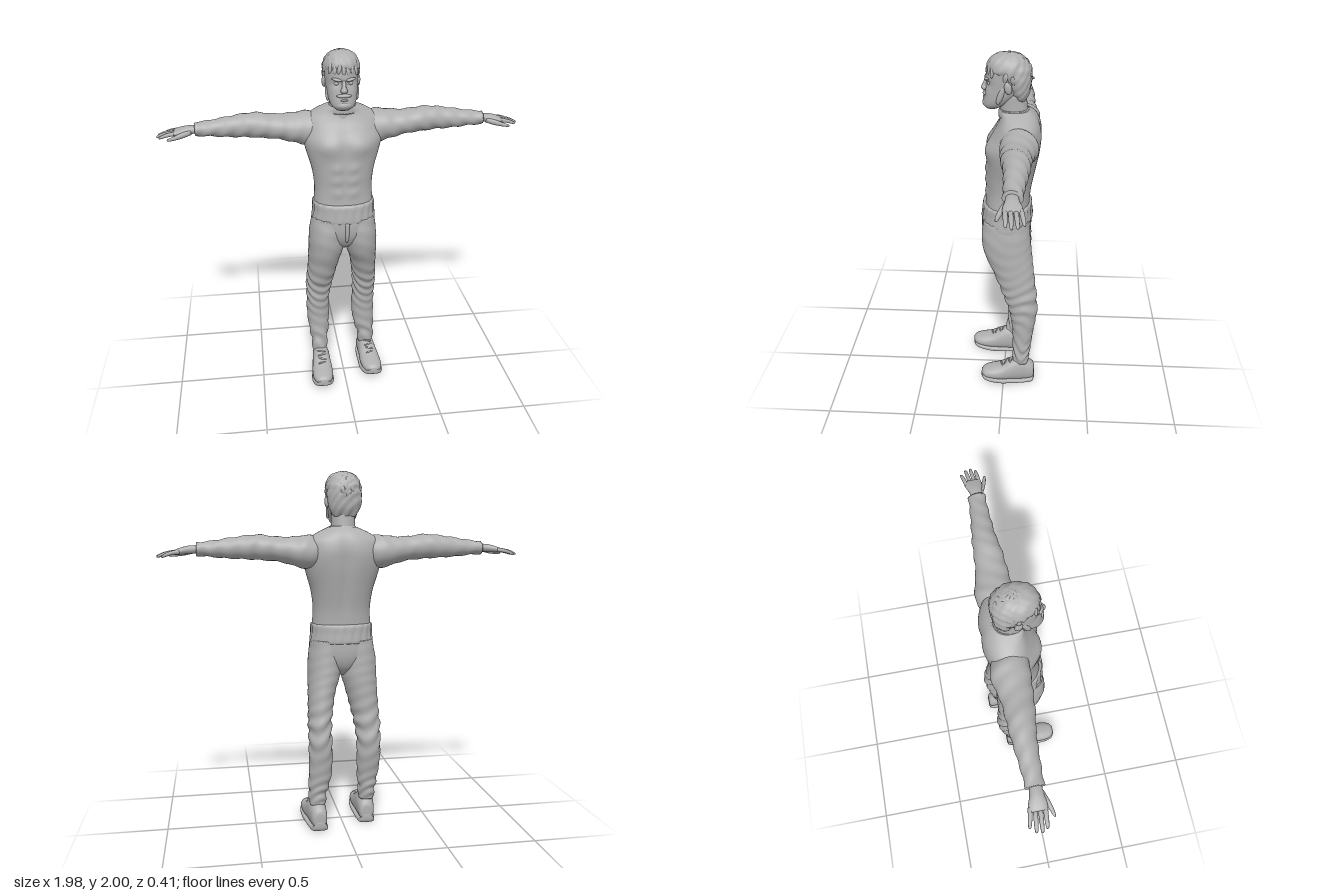
import * as THREE from 'three';

const grey = new THREE.MeshStandardMaterial({ color: 0xb0b0b0 });
grey.name = 'plain grey';

// Smooth closed skin through cross-sections [t, u0, u1, v0, v1] along one axis.
// bump(x, y, z, cos, sin) pushes the surface outward.
const place = {
  x: (t, u, v) => [t, v, u],
  y: (t, u, v) => [u, t, v],
  z: (t, u, v) => [v, u, t],
};
function loft(name, axis, rows, { n = 32, steps = 4, pow = 0.9, bump } = {}) {
  const at = (k, f) => {
    const g = (i) => rows[Math.min(Math.max(i, 0), rows.length - 1)];
    const [a, b, c, d] = [g(k - 1), g(k), g(k + 1), g(k + 2)];
    return b.map((_, j) => b[j] + 0.5 * f * (c[j] - a[j] + f * (2 * a[j] - 5 * b[j] + 4 * c[j] - d[j]
      + f * (3 * (b[j] - c[j]) + d[j] - a[j]))));
  };
  const rings = [];
  for (let i = 0; i <= (rows.length - 1) * steps; i++) rings.push(at(Math.floor(i / steps), (i % steps) / steps));
  const pos = [], idx = [];
  const soft = (q) => Math.sign(q) * Math.abs(q) ** pow;
  for (const [t, u0, u1, v0, v1] of rings) {
    for (let j = 0; j < n; j++) {
      const c = soft(Math.cos(j / n * Math.PI * 2)), s = soft(Math.sin(j / n * Math.PI * 2));
      let u = (u0 + u1) / 2 + c * (u1 - u0) / 2, v = (v0 + v1) / 2 + s * (v1 - v0) / 2;
      if (bump) { const b = bump(...place[axis](t, u, v), c, s); u += c * b; v += s * b; }
      pos.push(...place[axis](t, u, v));
    }
  }
  const flip = rows[rows.length - 1][0] < rows[0][0];
  const tri = (a, b, c) => flip ? idx.push(a, b, c) : idx.push(a, c, b);
  for (let i = 0; i < rings.length - 1; i++) for (let j = 0; j < n; j++) {
    const a = i * n + j, b = i * n + (j + 1) % n;
    tri(a, b, a + n); tri(b, b + n, a + n);
  }
  const last = rings.length - 1;
  for (const i of [0, last]) {
    const [t, u0, u1, v0, v1] = rings[i], p = pos.length / 3;
    pos.push(...place[axis](t, (u0 + u1) / 2, (v0 + v1) / 2));
    for (let j = 0; j < n; j++) {
      const a = i * n + j, b = i * n + (j + 1) % n;
      i ? tri(a, b, p) : tri(b, a, p);
    }
  }
  const g = new THREE.BufferGeometry();
  g.setAttribute('position', new THREE.Float32BufferAttribute(pos, 3));
  g.setIndex(idx);
  g.computeVertexNormals();
  const m = new THREE.Mesh(g, grey);
  m.name = name;
  return m;
}

function blob(name, p, r, rot = [0, 0, 0]) {
  const m = new THREE.Mesh(new THREE.SphereGeometry(1, 14, 10), grey);
  m.name = name;
  m.position.set(...p); m.scale.set(...r); m.rotation.set(...rot);
  return m;
}

const hill = (a, b, ra, rb) => Math.exp(-((a / ra) ** 2) - (b / rb) ** 2);
// Rows symmetric about x = cx: [y, halfWidth, z0, z1]
const sym = (rows, cx = 0) => rows.map(([y, w, a, b]) => [y, cx - w, cx + w, a, b]);

// Chest, belly and spine relief
function muscles(x, y, z, c, s) {
  const ax = Math.abs(x);
  if (s < 0) return -0.014 * hill(x, y - 1.42, 0.025, 0.2) + 0.006 * hill(ax - 0.1, y - 1.54, 0.06, 0.07);
  let b = 0.02 * hill(ax - 0.085, y - 1.5, 0.07, 0.055) - 0.008 * hill(x, y - 1.4, 0.014, 0.2);
  for (const cy of [1.24, 1.31, 1.38]) b += 0.009 * hill(ax - 0.042, y - cy, 0.032, 0.026);
  return b * s;
}
// Cloth folds, strongest around the knees and ankles
const folds = (x, y, z, c, s) => {
  const k = 0.2 + hill(y - 0.58, 0, 0.13, 1) + hill(y - 0.22, 0, 0.07, 1);
  return 0.0045 * k * Math.sin(y * 85 + 2.5 * c + 3 * Math.sin(2 * s + y * 9));
};
const sleeveFolds = (x, y, z, c, s) => 0.0025 * Math.sin(Math.abs(x) * 70 + 3 * c + 2 * s);

function addHead(group) {
  const head = new THREE.Group();
  head.name = 'head';
  const cx = -0.01;
  head.add(loft('neck', 'y', sym([[1.62, 0.075, -0.13, 0.03], [1.7, 0.066, -0.12, 0.025],
    [1.79, 0.064, -0.11, 0.03]], -0.005)));
  // Face with eye sockets and cheeks
  head.add(loft('face', 'y', sym([[1.705, 0.035, 0.035, 0.098], [1.725, 0.06, 0, 0.113], [1.76, 0.075, -0.05, 0.111],
    [1.81, 0.083, -0.1, 0.1], [1.87, 0.088, -0.12, 0.1], [1.92, 0.086, -0.12, 0.09],
    [1.965, 0.06, -0.085, 0.06], [1.985, 0.025, -0.04, 0.02]], cx), {
    n: 40, steps: 5, bump: (x, y, z, c, s) => s < 0 ? 0
      : -0.013 * hill(Math.abs(x - cx) - 0.037, y - 1.845, 0.022, 0.014) + 0.004 * hill(Math.abs(x - cx) - 0.05, y - 1.8, 0.02, 0.02),
  }));
  head.add(loft('nose', 'y', sym([[1.797, 0.012, 0.08, 0.112], [1.81, 0.018, 0.08, 0.125],
    [1.83, 0.011, 0.08, 0.117], [1.86, 0.009, 0.08, 0.102]], cx), { n: 16 }));
  head.add(blob('moustache', [cx, 1.784, 0.102], [0.04, 0.01, 0.014]));
  head.add(blob('lowerLip', [cx, 1.762, 0.107], [0.02, 0.006, 0.009]));
  head.add(blob('beard', [cx, 1.733, 0.088], [0.047, 0.024, 0.031]));
  for (const s of [-1, 1]) {
    head.add(blob('eye', [cx + s * 0.036, 1.844, 0.08], [0.014, 0.009, 0.009]));
    head.add(blob('brow', [cx + s * 0.036, 1.866, 0.094], [0.028, 0.008, 0.011], [0, s * 0.3, s * 0.2]));
    head.add(blob('ear', [cx + s * 0.09, 1.835, -0.02], [0.012, 0.033, 0.02], [0.2, 0, 0]));
    head.add(blob('sideburn', [cx + s * 0.077, 1.795, 0.018], [0.012, 0.055, 0.016], [-0.35, 0, 0]));
  }
  // Hair with a ridged surface and overlapping locks
  head.add(loft('hair', 'y', sym([[1.755, 0.06, -0.11, -0.05], [1.8, 0.084, -0.13, -0.025], [1.86, 0.094, -0.137, 0.005],
    [1.895, 0.096, -0.138, 0.07], [1.925, 0.095, -0.134, 0.092], [1.96, 0.08, -0.11, 0.078],
    [1.985, 0.052, -0.075, 0.045], [1.995, 0.015, -0.03, 0]], cx), {
    n: 48, steps: 5, bump: (x, y, z) => 0.004 * Math.sin(x * 120 + y * 50) * Math.sin(z * 110 + y * 70),
  }));
  for (let i = 0; i < 90; i++) {
    const a = i * 2.4, h = (i + 0.5) / 90;
    const el = -0.45 + h * 1.85, ce = Math.cos(el);
    const front = Math.sin(a) * ce > 0.3;
    if (front && el < 0.35) continue;
    const lock = blob('hairLock', [cx + 0.092 * Math.cos(a) * ce, 1.89 + 0.1 * Math.sin(el), -0.022 + 0.112 * Math.sin(a) * ce],
      [0.013, 0.024, 0.008]);
    lock.rotation.set(-el, Math.PI / 2 - a, (i % 5 - 2) * 0.25, 'YXZ');
    head.add(lock);
  }
  for (let i = -3; i <= 3; i++) {
    head.add(blob('fringe', [cx + i * 0.022, 1.912 - 0.006 * (i % 2), 0.09 - 0.003 * i * i],
      [0.011, 0.026, 0.009], [-0.2, i * 0.2, i % 2 * 0.25]));
  }
  group.add(head);
}

function addArm(group, s) {
  const arm = new THREE.Group();
  arm.name = s > 0 ? 'leftArm' : 'rightArm';
  const along = (rows) => rows.map(([x, ...r]) => [s * x, ...r]);
  arm.add(loft('sleeve', 'x', along([[0.1, -0.14, 0, 1.5, 1.64], [0.19, -0.182, 0.018, 1.475, 1.658],
    [0.26, -0.178, 0.012, 1.49, 1.65], [0.35, -0.158, 0.005, 1.515, 1.648], [0.45, -0.15, -0.005, 1.525, 1.66],
    [0.52, -0.146, -0.018, 1.53, 1.656], [0.62, -0.135, -0.025, 1.535, 1.642], [0.72, -0.125, -0.03, 1.545, 1.626],
    [0.785, -0.122, -0.03, 1.548, 1.62]]), { steps: 6, pow: 1, bump: sleeveFolds }));
  arm.add(loft('palm', 'x', along([[0.76, -0.1, -0.045, 1.565, 1.605], [0.82, -0.11, -0.042, 1.56, 1.604],
    [0.86, -0.124, -0.035, 1.557, 1.595], [0.895, -0.126, -0.036, 1.555, 1.583]]), { n: 20 }));
  // Fingers: root z, tip x, tip z
  for (const [z, tx, tz] of [[-0.115, 0.96, -0.134], [-0.093, 0.985, -0.107], [-0.07, 0.99, -0.08], [-0.047, 0.975, -0.054]]) {
    arm.add(loft('finger', 'x', along([0, 0.35, 0.7, 0.95, 1].map((f, i) => {
      const r = [0.012, 0.011, 0.01, 0.007, 0.003][i], cz = z + (tz - z) * f, cy = 1.572 - 0.024 * f * f;
      return [0.87 + (tx - 0.87) * f, cz - r, cz + r, cy - r, cy + r];
    })), { n: 12, steps: 3 }));
  }
  arm.add(loft('thumb', 'x', along([[0.805, -0.075, -0.04, 1.56, 1.59], [0.85, -0.05, -0.022, 1.55, 1.58],
    [0.89, -0.032, -0.01, 1.545, 1.567], [0.92, -0.02, -0.006, 1.543, 1.558], [0.93, -0.014, -0.009, 1.546, 1.552]]), { n: 14 }));
  group.add(arm);
}

function addShoe(group, name, cx, heel, turn) {
  const shoe = new THREE.Group();
  shoe.name = name;
  const rows = [[0, 0.035, 0.1, 0.025], [0.015, 0.012, 0.13, 0.042], [0.08, 0.004, 0.17, 0.051], [0.14, 0.008, 0.152, 0.055],
    [0.2, 0.016, 0.118, 0.061], [0.26, 0.028, 0.102, 0.059], [0.3, 0.038, 0.092, 0.044], [0.316, 0.052, 0.078, 0.02]];
  const mid = (d) => cx + turn * (d - 0.16);
  shoe.add(loft('upper', 'z', rows.map(([d, a, b, w]) => [heel + d, a, b, mid(d) - w, mid(d) + w])));
  shoe.add(loft('sole', 'z', rows.map(([d, a, , w]) => [heel + d * 1.012 - 0.002, Math.max(a - 0.012, 0), a + 0.022,
    mid(d) - w - 0.004, mid(d) + w + 0.004]), { pow: 0.6 }));
  for (let i = 0; i < 4; i++) {
    const d = 0.13 + i * 0.022;
    shoe.add(blob('lace', [mid(d), 0.156 - i * 0.0125, heel + d], [0.028, 0.006, 0.005], [0, i % 2 ? 0.3 : -0.3, 0]));
  }
  group.add(shoe);
}

export function createModel() {
  const group = new THREE.Group();
  group.name = 'figure';
  // Shirt
  group.add(loft('torso', 'y', sym([[1.155, 0.166, -0.138, 0.108], [1.25, 0.16, -0.146, 0.1], [1.35, 0.172, -0.165, 0.1],
    [1.45, 0.2, -0.184, 0.095], [1.52, 0.216, -0.191, 0.085], [1.58, 0.212, -0.194, 0.06], [1.63, 0.198, -0.185, 0.034],
    [1.67, 0.14, -0.165, 0.022], [1.7, 0.075, -0.135, 0.03]]), { n: 64, steps: 8, bump: muscles }));
  group.add(loft('collar', 'y', sym([[1.665, 0.085, -0.14, 0.034], [1.69, 0.078, -0.134, 0.034], [1.705, 0.07, -0.126, 0.028]])));
  addHead(group);
  addArm(group, 1);
  addArm(group, -1);

  // Trousers
  group.add(loft('waistband', 'y', sym([[1.065, 0.172, -0.148, 0.122], [1.075, 0.178, -0.155, 0.128],
    [1.12, 0.172, -0.152, 0.124], [1.16, 0.172, -0.15, 0.12], [1.172, 0.163, -0.138, 0.108]]),
  { n: 64, bump: (x, y, z, c, s) => 0.003 * Math.sin(22 * Math.atan2(s, c) + y * 30) }));
  group.add(loft('hips', 'y', sym([[1.12, 0.168, -0.145, 0.12], [1.05, 0.18, -0.15, 0.127], [0.98, 0.165, -0.145, 0.12],
    [0.92, 0.09, -0.12, 0.09], [0.88, 0.03, -0.07, 0.04]])));
  group.add(loft('fly', 'y', sym([[0.95, 0.008, 0.08, 0.118], [1.0, 0.016, 0.08, 0.13], [1.07, 0.018, 0.08, 0.131]], 0.005), { n: 16 }));
  const opt = { n: 40, steps: 9, pow: 0.95, bump: folds };
  group.add(loft('rightTrouserLeg', 'y', [[1.08, -0.175, 0.01, -0.14, 0.115], [0.98, -0.195, 0.005, -0.145, 0.128],
    [0.88, -0.2, 0, -0.15, 0.117], [0.78, -0.203, -0.025, -0.15, 0.083], [0.68, -0.208, -0.05, -0.15, 0.05],
    [0.6, -0.213, -0.067, -0.155, 0.015], [0.5, -0.213, -0.08, -0.163, -0.005], [0.4, -0.214, -0.08, -0.152, -0.018],
    [0.3, -0.205, -0.085, -0.13, -0.018], [0.21, -0.19, -0.095, -0.115, -0.01], [0.14, -0.187, -0.097, -0.1, 0]], opt));
  group.add(loft('leftTrouserLeg', 'y', [[1.08, -0.01, 0.172, -0.14, 0.115], [0.98, -0.005, 0.187, -0.148, 0.125],
    [0.88, 0.01, 0.192, -0.158, 0.11], [0.78, 0.043, 0.195, -0.17, 0.065], [0.68, 0.06, 0.198, -0.182, 0.025],
    [0.6, 0.07, 0.2, -0.19, -0.005], [0.5, 0.07, 0.2, -0.195, -0.035], [0.4, 0.067, 0.2, -0.182, -0.05],
    [0.3, 0.075, 0.2, -0.168, -0.055], [0.21, 0.1, 0.2, -0.155, -0.058], [0.14, 0.105, 0.198, -0.15, -0.06]], opt));

  addShoe(group, 'rightShoe', -0.14, -0.112, -0.02);
  addShoe(group, 'leftShoe', 0.16, -0.186, 0.08);
  return group;
}
